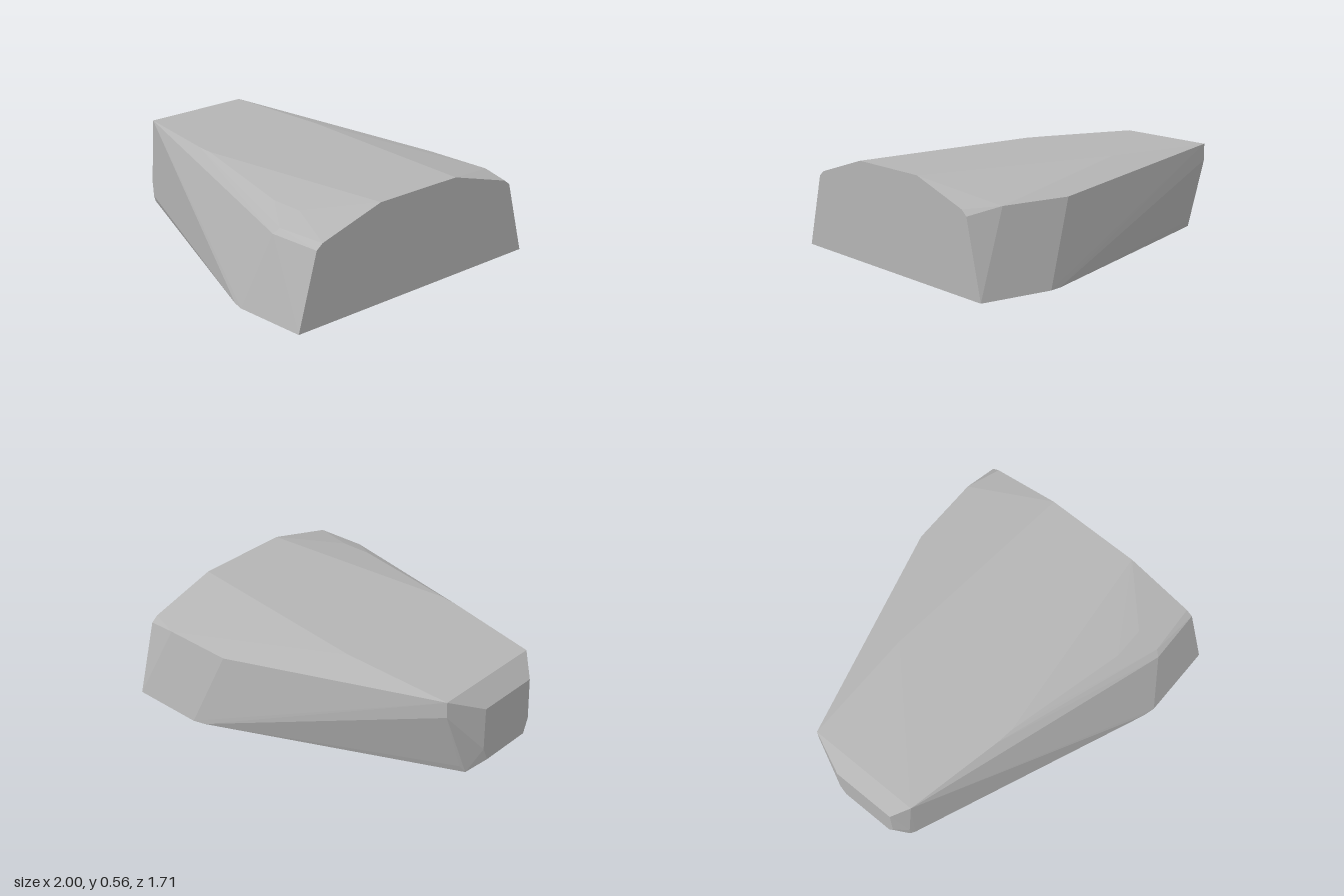
import * as THREE from 'three';
import { ConvexGeometry } from 'three/addons/geometries/ConvexGeometry.js';

const stone = new THREE.MeshStandardMaterial({ color: 0xb4b4b4 });
stone.name = 'stone grey';

export function createModel() {
  const group = new THREE.Group();
  group.name = 'wedgeBlock';
  const points = [];
  const add = (x, y, z) => points.push(new THREE.Vector3(x, y, z));
  const both = (x, y, z) => { add(x, y, z); add(x, y, -z); };

  // wide flat end and the base corners
  both(1, 0, 0.855);
  both(1, 0.42, 0.735);
  both(1, 0.45, 0.695);
  both(1, 0.565, 0.285);
  both(0.56, 0, 0.855);
  both(0.49, 0, 0.835);

  // flat top, narrowing toward the blunt nose
  add(-0.91, 0.565, -0.405);
  add(-0.91, 0.565, 0.27);
  add(-0.22, 0.565, -0.405);
  add(-0.22, 0.565, 0.405);
  add(-0.33, 0.565, 0.39);

  // front shoulder
  add(0.7, 0.51, 0.575);
  add(0.51, 0.515, 0.575);
  add(0.7, 0.45, 0.71);
  add(0.68, 0.42, 0.74);

  // back shoulder
  add(0.38, 0.455, -0.765);
  add(0.8, 0.455, -0.765);
  add(-0.91, 0.47, -0.405);

  // nose: end face, then the chamfer under it
  both(-1, 0.455, 0.19);
  both(-1, 0.2, 0.195);
  both(-1, 0.115, 0.16);
  both(-0.94, 0.17, 0.265);
  both(-0.91, 0.09, 0.28);
  both(-0.93, 0.047, 0.255);

  const body = new THREE.Mesh(new ConvexGeometry(points), stone);
  body.name = 'body';
  group.add(body);
  return group;
}
